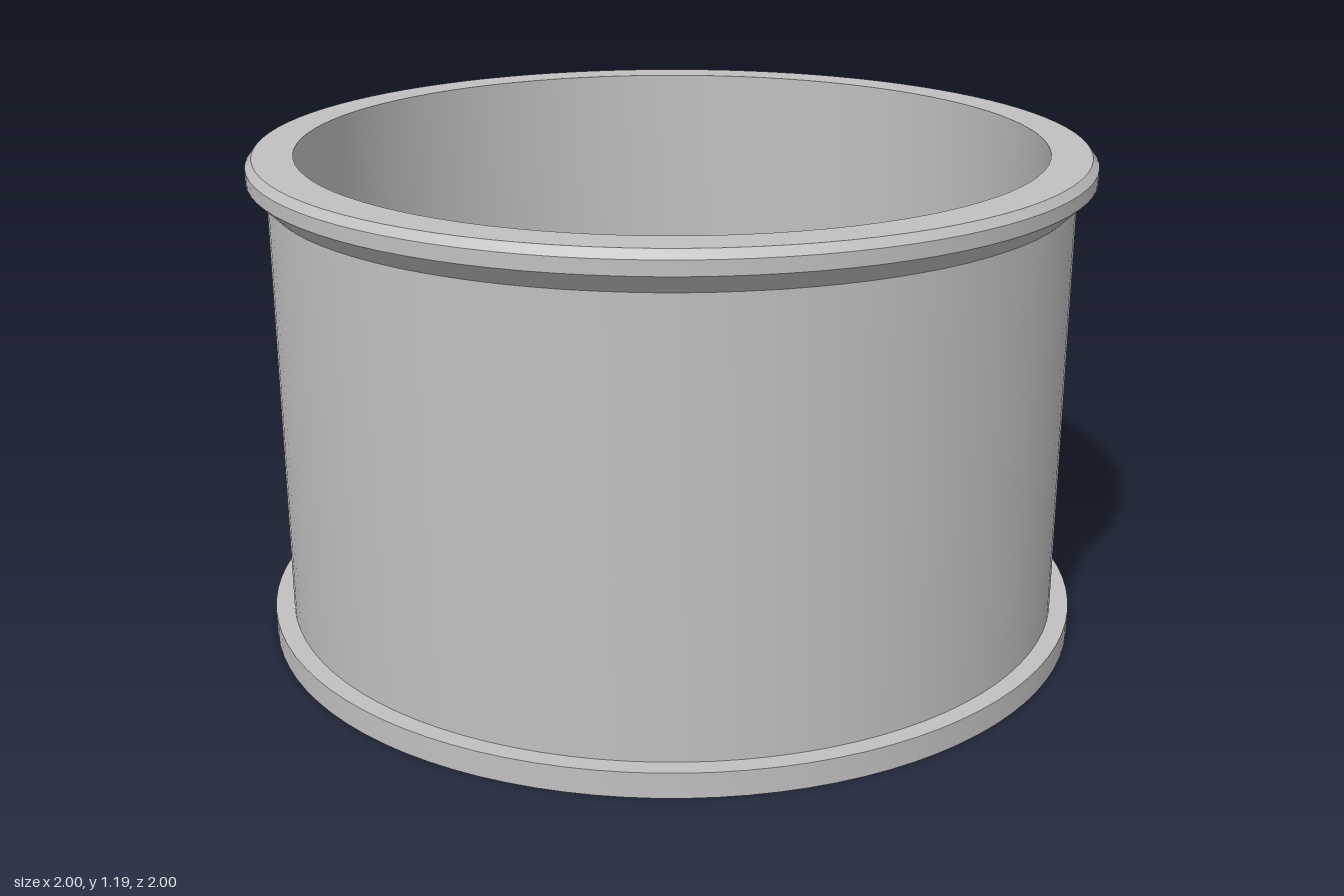
import * as THREE from 'three';
import { toCreasedNormals } from 'three/addons/utils/BufferGeometryUtils.js';

const SEG = 96;
const FLOOR = 0.08;                 // floor thickness
const HUB_TOP = 0.48;
const BORE_TOP = 0.4;               // depth of the D-shaped socket
const BORE_R = 0.094, FLAT_Z = 0.063;
const FLAT_ANGLE = Math.acos(FLAT_Z / BORE_R);
const HOLE_R = 0.158, HOLE_RING = 0.55;

const v = (x, y) => new THREE.Vector2(x, y);

function circle(r, x = 0, y = 0, Type = THREE.Path) {
  return new Type().absarc(x, y, r, 0, Math.PI * 2, false);
}

// Outline of the D-shaped socket, flat towards +z
function dOutline(Type) {
  const points = [];
  for (let i = 0; i <= 48; i++) {
    const a = FLAT_ANGLE + (i / 48) * 2 * (Math.PI - FLAT_ANGLE);
    points.push(v(BORE_R * Math.sin(a), BORE_R * Math.cos(a)));
  }
  return new Type(points);
}

export function createModel() {
  const group = new THREE.Group();
  const plastic = new THREE.MeshStandardMaterial({ color: 0xc0c0c0 });
  plastic.name = 'light grey plastic';

  const add = (name, geometry, parent = group) => {
    const mesh = new THREE.Mesh(geometry, plastic);
    mesh.name = name;
    parent.add(mesh);
    return mesh;
  };
  const lathe = (pts, seg = SEG, start = 0, length = Math.PI * 2) =>
    toCreasedNormals(new THREE.LatheGeometry(pts.map(p => v(...p)), seg, start, length), 0.4);
  const face = (shape, y, up) =>
    new THREE.ShapeGeometry(shape, SEG).rotateX(up ? -Math.PI / 2 : Math.PI / 2).translate(0, y, 0);

  // Drum wall with a plain lower flange, bevelled upper rim and chamfered inner foot
  add('drumWall', lathe([
    [1, 0], [1, 0.06], [0.955, 0.06], [0.955, 1.09], [1, 1.135], [1, 1.168],
    [0.985, 1.187], [0.89, 1.187], [0.89, FLOOR + 0.07], [0.82, FLOOR],
  ]));

  // Centre hub with a sloped foot and a small through hole
  add('hub', lathe([
    [0.28, FLOOR], [0.205, FLOOR + 0.075], [0.205, HUB_TOP], [0.04, HUB_TOP], [0.04, BORE_TOP],
  ]));

  // Underside and inner floor, pierced by six round holes
  const underside = circle(1, 0, 0, THREE.Shape);
  const floor = circle(0.82, 0, 0, THREE.Shape);
  underside.holes.push(dOutline(THREE.Path));
  floor.holes.push(circle(0.28));
  const holes = new THREE.Group();
  holes.name = 'lighteningHoles';
  group.add(holes);
  for (let i = 0; i < 6; i++) {
    const a = (i * Math.PI) / 3;
    const x = HOLE_RING * Math.cos(a), z = HOLE_RING * Math.sin(a);
    underside.holes.push(circle(HOLE_R, x, z));
    floor.holes.push(circle(HOLE_R, x, z));
    add('holeWall', lathe([[HOLE_R, FLOOR], [HOLE_R, 0]]), holes).position.set(x, 0, z);
  }
  add('underside', face(underside, 0, false));
  add('innerFloor', face(floor, FLOOR, true));

  // D-shaped shaft socket: round wall, flat wall and ceiling
  add('socketRoundWall', lathe([[BORE_R, BORE_TOP], [BORE_R, 0]], 48,
    FLAT_ANGLE, 2 * (Math.PI - FLAT_ANGLE)));
  const flatWidth = 2 * BORE_R * Math.sin(FLAT_ANGLE);
  add('socketFlatWall', new THREE.PlaneGeometry(flatWidth, BORE_TOP)
    .rotateY(Math.PI).translate(0, BORE_TOP / 2, FLAT_Z));
  const ceiling = dOutline(THREE.Shape);
  ceiling.holes.push(circle(0.04));
  add('socketCeiling', face(ceiling, BORE_TOP, false));

  return group;
}
